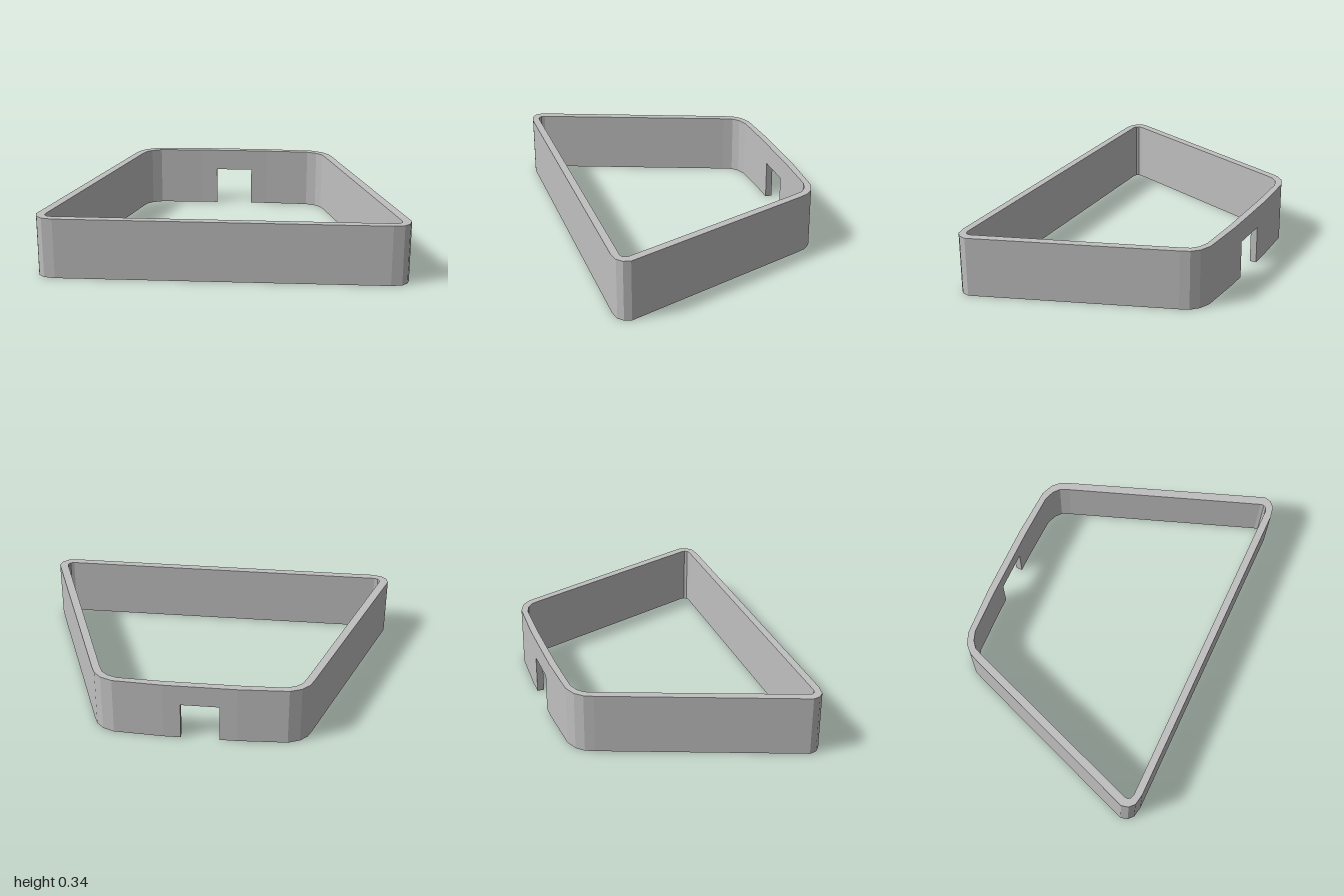
import * as THREE from 'three';

const HEIGHT = 0.34;
const NOTCH_HEIGHT = 0.217;

// Right half of the wall in plan, from the notch at the back round to the front:
// [outer x, outer z, inner x, inner z]
const HALF = [
  [0.106, -0.64, 0.106, -0.602],
  [0.2, -0.64, 0.2, -0.602],
  [0.475, -0.626, 0.45, -0.594],
  [0.54, -0.6, 0.505, -0.575],
  [0.58, -0.56, 0.54, -0.545],
  [0.602, -0.51, 0.562, -0.495],
  [1.0, 0.56, 0.948, 0.555],
  [0.99, 0.6, 0.95, 0.575],
  [0.96, 0.627, 0.94, 0.59],
  [0.9, 0.638, 0.92, 0.597],
];

function wallGeometry() {
  const mirrored = HALF.map(([ox, oz, ix, iz]) => [-ox, oz, -ix, iz]).reverse();
  const loop = [...HALF, ...mirrored];
  const positions = [];
  const quad = (a, b, c, d) => positions.push(...a, ...b, ...c, ...a, ...c, ...d);
  const outer = (s, y) => [s[0], y, s[1]];
  const inner = (s, y) => [s[2], y, s[3]];

  // Wall segments; the closing one bridges over the notch
  loop.forEach((a, i) => {
    const b = loop[(i + 1) % loop.length];
    const low = i === loop.length - 1 ? NOTCH_HEIGHT : 0;
    quad(outer(a, low), outer(a, HEIGHT), outer(b, HEIGHT), outer(b, low));
    quad(inner(b, low), inner(b, HEIGHT), inner(a, HEIGHT), inner(a, low));
    quad(outer(a, HEIGHT), inner(a, HEIGHT), inner(b, HEIGHT), outer(b, HEIGHT));
    quad(outer(b, low), inner(b, low), inner(a, low), outer(a, low));
  });

  // Side faces of the notch
  const r = loop[0];
  const l = loop[loop.length - 1];
  quad(outer(r, 0), inner(r, 0), inner(r, NOTCH_HEIGHT), outer(r, NOTCH_HEIGHT));
  quad(outer(l, 0), outer(l, NOTCH_HEIGHT), inner(l, NOTCH_HEIGHT), inner(l, 0));

  const geometry = new THREE.BufferGeometry();
  geometry.setAttribute('position', new THREE.Float32BufferAttribute(positions, 3));
  geometry.computeVertexNormals(); // unshared corners keep the facets flat
  return geometry;
}

export function createModel() {
  const group = new THREE.Group();
  group.name = 'trapezoidFrame';
  const grey = new THREE.MeshStandardMaterial({ color: 0xc0c0c0 });
  grey.name = 'lightGrey';
  const wall = new THREE.Mesh(wallGeometry(), grey);
  wall.name = 'notchedWall';
  group.add(wall);
  return group;
}
